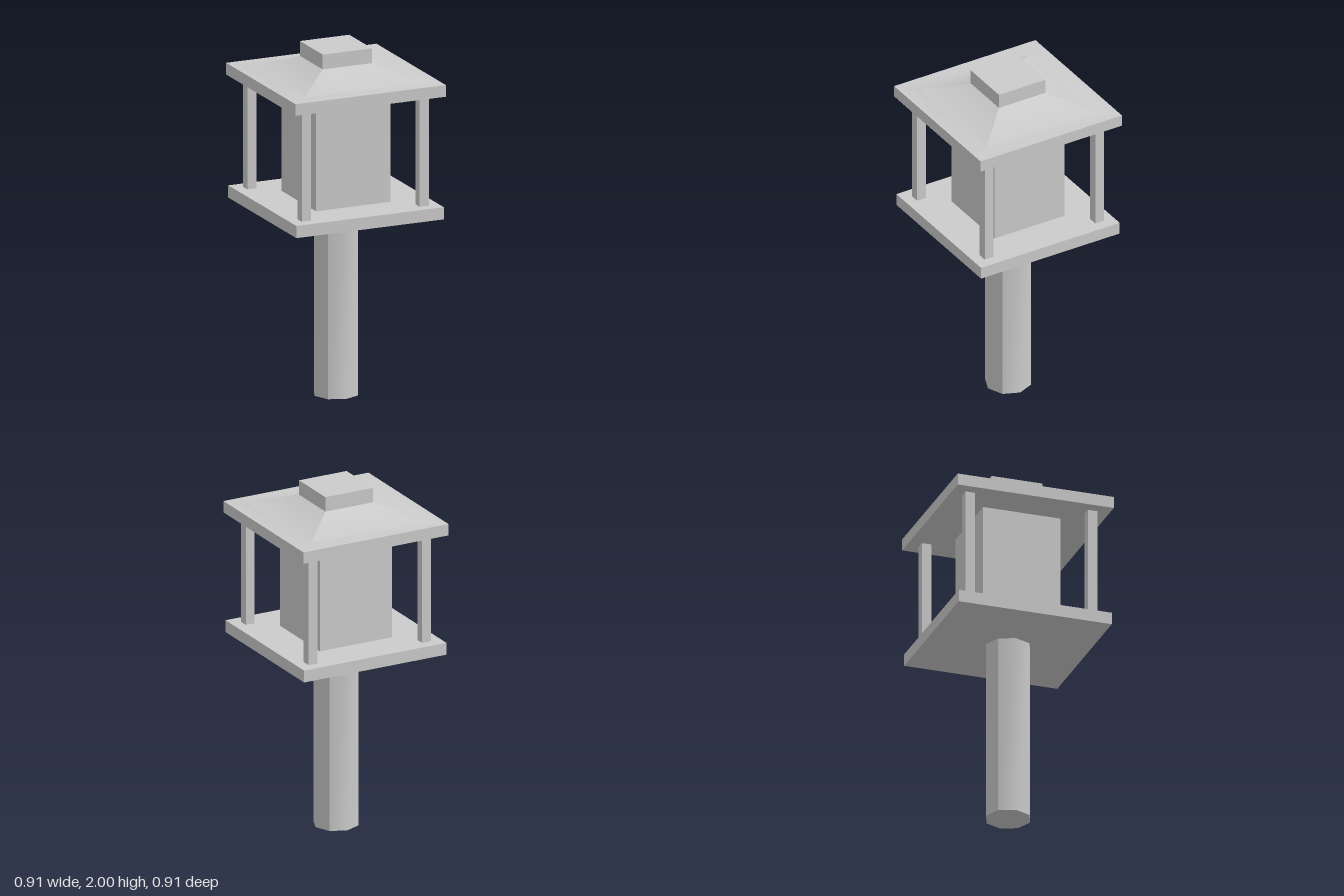
import * as THREE from 'three';
import { toCreasedNormals } from 'three/addons/utils/BufferGeometryUtils.js';

export function createModel() {
  const lantern = new THREE.Group();
  lantern.name = 'postLantern';
  const material = new THREE.MeshStandardMaterial({ color: 0xcccccc });

  const add = (name, geometry, x = 0, y = 0, z = 0, parent = lantern) => {
    const mesh = new THREE.Mesh(geometry, material);
    mesh.name = name;
    mesh.position.set(x, y, z);
    parent.add(mesh);
    return mesh;
  };
  // Square block standing between two heights
  const block = (name, half, y0, y1, x = 0, z = 0) =>
    add(name, new THREE.BoxGeometry(half * 2, y1 - y0, half * 2), x, (y0 + y1) / 2, z);

  // Eight-sided pole: each quarter is softened at its middle and sharp at its ends
  const pole = new THREE.Group();
  pole.name = 'pole';
  lantern.add(pole);
  const poleRadius = 0.13, poleHeight = 1.045;
  for (let i = 0; i < 4; i++) {
    const quarter = new THREE.CylinderGeometry(poleRadius, poleRadius, poleHeight, 2, 1, true,
      (i - 0.5) * Math.PI / 2, Math.PI / 2);
    quarter.computeVertexNormals();
    add('poleSide', quarter, 0, poleHeight / 2, 0, pole);
  }
  const cap = new THREE.CircleGeometry(poleRadius, 8);
  add('poleTop', cap, 0, poleHeight, 0, pole).rotation.x = -Math.PI / 2;
  add('poleBottom', cap, 0, 0, 0, pole).rotation.x = Math.PI / 2;

  // Floor slab, lamp box and corner posts
  block('floor', 0.448, 1.06, 1.13);
  block('lampBox', 0.227, 1.13, 1.765);
  for (const x of [-1, 1]) {
    for (const z of [-1, 1]) block('cornerPost', 0.028, 1.13, 1.765, x * 0.358, z * 0.358);
  }

  // Roof: four-sided profile with eaves, slopes and a square cap
  const profile = [
    [0, 1.765], [0.457, 1.765], [0.457, 1.832], [0.354, 1.832],
    [0.15, 1.915], [0.15, 2], [0, 2],
  ].map(([half, y]) => new THREE.Vector2(half * Math.SQRT2, y));
  const roof = new THREE.LatheGeometry(profile, 4, Math.PI / 4);
  add('roof', toCreasedNormals(roof, Math.PI / 6));

  return lantern;
}
